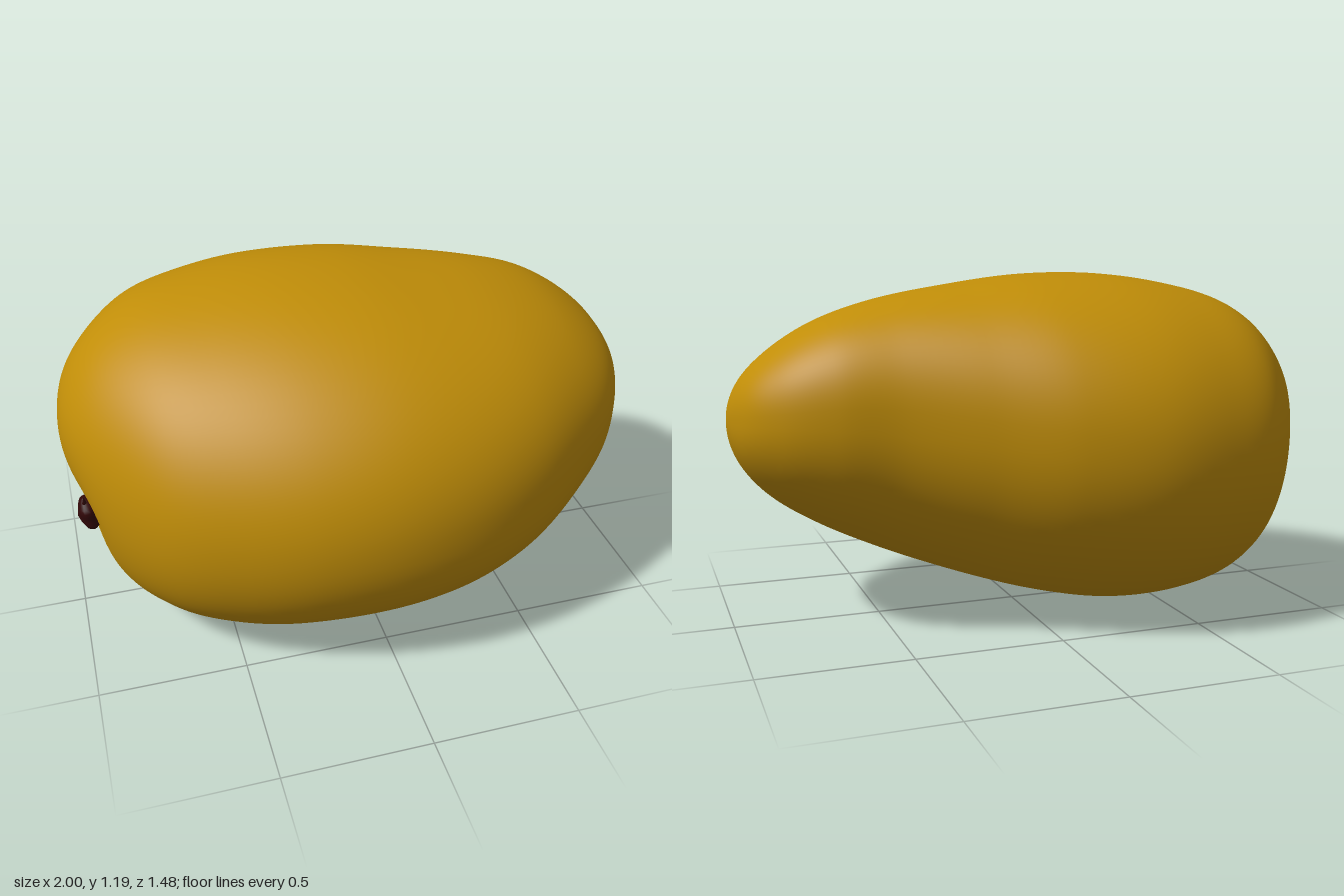
import * as THREE from 'three';
import { mergeVertices } from 'three/addons/utils/BufferGeometryUtils.js';

const skin = new THREE.MeshStandardMaterial({ color: 0xc08d08 });
skin.name = 'goldenSkin';
const bark = new THREE.MeshStandardMaterial({ color: 0x330808 });
bark.name = 'darkStem';

// Cross-sections at equal angles from pole to pole: x, top y, bottom y, back z, front z
const SECTIONS = [
  [-1, 0.695, 0.695, -0.07, -0.07],
  [-0.966, 0.86, 0.51, -0.27, 0.12],
  [-0.866, 1.0, 0.20, -0.455, 0.325],
  [-0.707, 1.1, 0.07, -0.63, 0.51],
  [-0.5, 1.157, 0.014, -0.71, 0.63],
  [-0.259, 1.188, 0.01, -0.74, 0.71],
  [0, 1.185, 0.055, -0.69, 0.735],
  [0.259, 1.15, 0.13, -0.575, 0.70],
  [0.5, 1.105, 0.225, -0.475, 0.61],
  [0.707, 1.04, 0.335, -0.415, 0.475],
  [0.866, 0.945, 0.45, -0.33, 0.33],
  [0.966, 0.84, 0.58, -0.21, 0.155],
  [1, 0.715, 0.715, -0.03, -0.03],
];
const STEM = new THREE.Vector3(-0.94, 0.457, 0.09);

// Smooth skin lofted through the sections
function fruitGeometry(rings = 120, sides = 96) {
  // Mirrored sections past each pole keep the ends round
  const flip = ([x, top, bottom, back, front]) => [x, bottom, top, front, back];
  const n = SECTIONS.length;
  const keys = [flip(SECTIONS[1]), ...SECTIONS, flip(SECTIONS[n - 2])];
  const spline = (a, b) => new THREE.CatmullRomCurve3(
    keys.map((k) => new THREE.Vector3(k[0], k[a], k[b])), false, 'catmullrom', 0.5);
  const heights = spline(1, 2);
  const depths = spline(3, 4);
  const power = (v, e) => Math.sign(v) * Math.abs(v) ** e;

  const positions = [];
  const index = [];
  const p = new THREE.Vector3();
  for (let i = 0; i <= rings; i++) {
    const t = (1 + (i / rings) * (n - 1)) / (n + 1);
    const h = heights.getPoint(t);
    const d = depths.getPoint(t);
    // Towards the narrow tip the sections lean more and grow fuller
    const neck = THREE.MathUtils.smoothstep(h.x, -0.3, 0.7);
    const lean = 0.06 + 0.1 * neck;
    const e = 2 / (2.06 + 0.3 * neck);
    const rz = (d.z - d.y) / 2;
    const ry = Math.sqrt(Math.max(0, ((h.y - h.z) / 2) ** 2 - (lean * rz) ** 2));
    for (let j = 0; j < sides; j++) {
      const a = (j / sides) * Math.PI * 2;
      const z = power(Math.sin(a), e) * rz;
      const y = power(Math.cos(a), e) * ry - lean * z;
      p.set(h.x, (h.y + h.z) / 2 + y, (d.y + d.z) / 2 + z);
      // Dimple around the stem
      p.x += 0.018 * Math.exp(-p.distanceToSquared(STEM) / 0.01);
      positions.push(p.x, p.y, p.z);
      if (i === rings) continue;
      const k = (j + 1) % sides;
      const A = i * sides + j, B = i * sides + k;
      if (i > 0) index.push(A, B, A + sides);
      if (i < rings - 1) index.push(B, B + sides, A + sides);
    }
  }
  let geometry = new THREE.BufferGeometry();
  geometry.setAttribute('position', new THREE.Float32BufferAttribute(positions, 3));
  geometry.setIndex(index);
  geometry = mergeVertices(geometry, 1e-5);
  geometry.computeVertexNormals();
  return geometry;
}

// Small knobbly stub
function stemGeometry() {
  const geometry = new THREE.SphereGeometry(1, 20, 14);
  const pos = geometry.attributes.position;
  const v = new THREE.Vector3();
  for (let i = 0; i < pos.count; i++) {
    v.fromBufferAttribute(pos, i);
    v.multiplyScalar(1 + 0.12 * Math.sin(5 * v.y + 2) * Math.cos(4 * v.z));
    pos.setXYZ(i, v.x * 0.036, v.y * 0.058, v.z * 0.056);
  }
  geometry.computeVertexNormals();
  return geometry;
}

export function createModel() {
  const model = new THREE.Group();
  model.name = 'mango';

  const fruit = new THREE.Mesh(fruitGeometry(), skin);
  fruit.name = 'fruitBody';

  const stem = new THREE.Mesh(stemGeometry(), bark);
  stem.name = 'stem';
  stem.position.copy(STEM);
  stem.rotation.z = 0.2;

  // Short pointed remnant of the stalk
  const twig = new THREE.Mesh(new THREE.ConeGeometry(0.014, 0.06, 8), bark);
  twig.name = 'stalkTip';
  twig.position.set(STEM.x - 0.012, STEM.y + 0.055, STEM.z + 0.02);
  twig.rotation.x = 0.3;

  model.add(fruit, stem, twig);
  return model;
}
